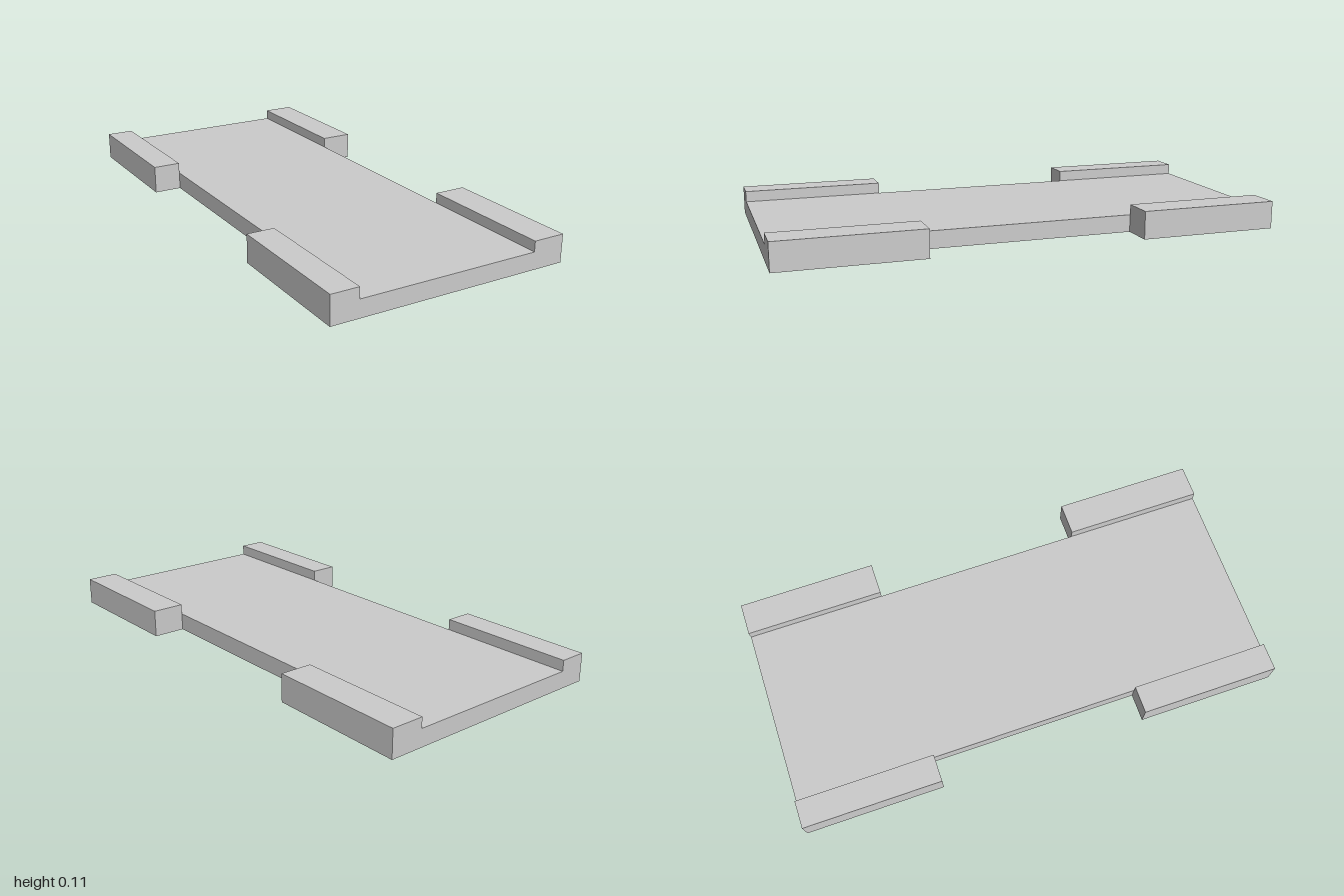
import * as THREE from 'three';

const material = new THREE.MeshStandardMaterial({ color: 0xcccccc, flatShading: true });

// Box standing on the ground between the given x and z limits
function slab(name, x0, x1, z0, z1, height) {
  const mesh = new THREE.Mesh(new THREE.BoxGeometry(x1 - x0, height, z1 - z0), material);
  mesh.position.set((x0 + x1) / 2, height / 2, (z0 + z1) / 2);
  mesh.name = name;
  return mesh;
}

export function createModel() {
  const group = new THREE.Group();
  group.name = 'tray';

  // Long flat deck
  group.add(slab('deck', -0.38, 0.36, -1, 1, 0.07));

  // Raised side rails at the four corners; the left ones are slightly wider
  for (const [end, z0, z1] of [['front', 0.43, 1], ['back', -1, -0.43]]) {
    group.add(slab(end + 'RightRail', -0.492, -0.38, z0, z1, 0.114));
    group.add(slab(end + 'LeftRail', 0.36, 0.492, z0, z1, 0.112));
  }
  return group;
}
